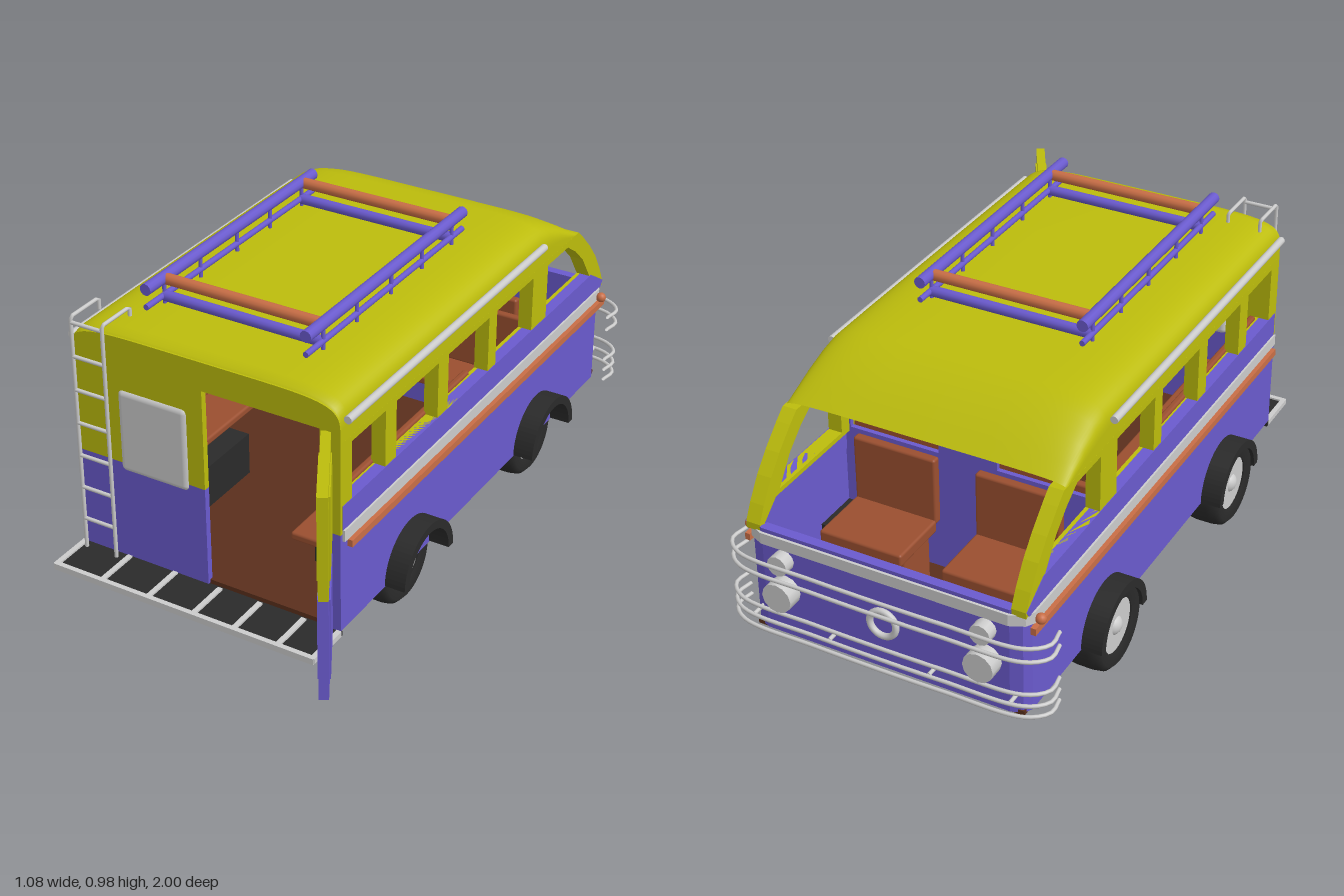
import * as THREE from 'three';
import { RoundedBoxGeometry } from 'three/addons/geometries/RoundedBoxGeometry.js';

const paint = (color) => new THREE.MeshStandardMaterial({ color, side: THREE.DoubleSide });
const V = (x, y, z) => new THREE.Vector3(x, y, z);
const shapeOf = (pts) => new THREE.Shape(pts.map(([a, b]) => new THREE.Vector2(a, b)));
const W = 0.44; // half width of the body

export function createModel() {
  const purple = paint(0x6a5acd), yellow = paint(0xbcbc0c), orange = paint(0xc86e46), seatBrown = paint(0x9a4f30);
  const brown = paint(0x5a2f1c), black = paint(0x2a2a2a), grey = paint(0xcccccc);
  const model = new THREE.Group();
  const bus = new THREE.Group();
  bus.name = 'bus';
  bus.position.x = -0.04;
  model.add(bus);

  const add = (name, geo, mat, parent = bus) => {
    const m = new THREE.Mesh(geo, mat);
    m.name = name;
    parent.add(m);
    return m;
  };
  // box given by its limits
  const box = (name, mat, x0, x1, y0, y1, z0, z1, parent) => {
    const g = new THREE.BoxGeometry(x1 - x0, y1 - y0, z1 - z0);
    g.translate((x0 + x1) / 2, (y0 + y1) / 2, (z0 + z1) / 2);
    return add(name, g, mat, parent);
  };
  const rod = (name, mat, a, b, r) => {
    const m = add(name, new THREE.CylinderGeometry(r, r, a.distanceTo(b), 12), mat);
    m.position.copy(a).lerp(b, 0.5);
    m.quaternion.setFromUnitVectors(V(0, 1, 0), b.clone().sub(a).normalize());
    return m;
  };
  const extrude = (shape, depth) => new THREE.ExtrudeGeometry(shape, { depth, bevelEnabled: false, curveSegments: 16 });
  // side panel drawn in (z, y), its outer face at x = outer
  const sidePanel = (name, mat, shape, outer, depth, s) => {
    const g = extrude(shape, depth);
    g.rotateY(-Math.PI / 2);
    g.translate(s > 0 ? outer : -outer + depth, 0, 0);
    add(name, g, mat);
  };

  // lower hull: walls and nose in plan, open at the rear
  const hullPlan = (o) => [[W + o, -0.71], [W + o, 0.91], [0.425 + o, 0.935], [0.39, 0.947 + o], [-0.39, 0.947 + o],
    [-0.425 - o, 0.935], [-W - o, 0.91], [-W - o, -0.71]];
  const uShape = (outer, inner) => shapeOf([...hullPlan(outer), ...hullPlan(inner).reverse()]);
  const plan = (name, mat, shape, y, h) => {
    const g = extrude(shape, h);
    g.rotateX(-Math.PI / 2);
    g.translate(0, y, 0);
    add(name, g, mat);
  };
  plan('lowerHull', purple, uShape(0, -0.03), 0.14, 0.345);
  plan('waistBand', grey, uShape(0.008, 0), 0.437, 0.036);
  box('floor', brown, -0.43, 0.43, 0.135, 0.15, -0.94, 0.71);

  // window frames and front pillars on each side
  for (const s of [1, -1]) {
    sidePanel('windowSill', purple, shapeOf([[0.71, 0.47], [-0.93, 0.47], [-0.945, 0.49], [-0.85, 0.55], [0.71, 0.55]]), W + 0.002, 0.035, s);
    const frame = shapeOf([[0.71, 0.535], [0.71, 0.75], [-0.735, 0.75], [-0.77, 0.72], [-0.83, 0.662], [-0.877, 0.607],
      [-0.92, 0.54], [-0.945, 0.49], [-0.945, 0.47], [-0.93, 0.475], [-0.86, 0.535]]);
    for (const [a, b] of [[0.48, 0.66], [0.18, 0.42], [-0.13, 0.12], [-0.42, -0.18]])
      frame.holes.push(shapeOf([[a, 0.55], [b, 0.55], [b, 0.73], [a, 0.73]]));
    frame.holes.push(shapeOf([[-0.52, 0.55], [-0.52, 0.73], [-0.66, 0.73], [-0.72, 0.69], [-0.78, 0.635], [-0.84, 0.55]]));
    sidePanel('windowFrame', yellow, frame, W, 0.045, s);
    box('trimStrip', orange, s * 0.452 - 0.008, s * 0.452 + 0.008, 0.412, 0.434, -0.93, 0.69);
    rod('rainGutter', grey, V(s * 0.45, 0.818, 0.7), V(s * 0.45, 0.818, -0.465), 0.012);
    const lamp = add('sideLamp', new THREE.SphereGeometry(0.016, 16, 12), orange);
    lamp.position.set(s * 0.46, 0.45, -0.9);
  }

  // roof lofted from rounded sections
  const arc = (top, n = 40) => Array.from({ length: n + 1 }, (_, i) => {
    const a = Math.PI * i / n, c = Math.cos(a);
    return [W * Math.sign(c) * Math.abs(c) ** (1 / 3), 0.73 + (top - 0.73) * Math.abs(Math.sin(a)) ** (1 / 3)];
  });
  const stations = [[0.72, 0.862], [0.71, 0.876], [0.68, 0.885], [0.2, 0.887], [-0.3, 0.887], [-0.48, 0.885], [-0.54, 0.868],
    [-0.61, 0.835], [-0.67, 0.797], [-0.72, 0.762]];
  const pos = [], idx = [], row = 41;
  stations.forEach(([z, top], j) => {
    arc(top).forEach(([x, y], i) => {
      pos.push(x, y, z);
      if (i < row - 1 && j < stations.length - 1) {
        const k = j * row + i;
        idx.push(k, k + row, k + 1, k + 1, k + row, k + row + 1);
      }
    });
  });
  const roof = new THREE.BufferGeometry();
  roof.setAttribute('position', new THREE.Float32BufferAttribute(pos, 3));
  roof.setIndex(idx);
  roof.computeVertexNormals();
  add('roof', roof, yellow);

  // rear wall around the doorway
  const rear = add('rearWallUpper', extrude(shapeOf([[W, 0.46], ...arc(0.87), [-W, 0.46], [0, 0.46], [0, 0.78], [0.375, 0.78], [0.375, 0.46]]), 0.02), yellow);
  rear.position.z = 0.7;
  box('rearWallLower', purple, -W, 0, 0.14, 0.46, 0.7, 0.72);
  box('rearJambLower', purple, 0.375, W, 0.14, 0.46, 0.7, 0.72);
  const pane = add('rearWindow', new RoundedBoxGeometry(0.235, 0.27, 0.04, 4, 0.019), grey);
  pane.position.set(-0.168, 0.57, 0.708);

  // open rear door
  const door = new THREE.Group();
  door.name = 'rearDoor';
  door.position.set(0.395, 0, 0.72);
  door.rotation.y = -Math.atan2(0.28, 0.16);
  bus.add(door);
  for (const [mat, y0, y1] of [[purple, 0.14, 0.46], [yellow, 0.46, 0.78]]) {
    box('doorLeaf', mat, 0, 0.32, y0, y1, -0.014, 0.014, door);
    box('doorPanel', mat, 0.06, 0.27, y0 + 0.03, y1 - 0.03, -0.018, 0.018, door);
  }

  // rear step with slats
  box('stepTread', black, -W, W, 0.122, 0.136, 0.71, 0.86);
  for (const x of [-0.435, -0.275, -0.115, 0.04, 0.175, 0.32, 0.435]) box('stepSlat', grey, x - 0.008, x + 0.008, 0.125, 0.142, 0.72, 0.865);
  box('stepEdge', grey, -W, W, 0.122, 0.142, 0.852, 0.868);

  // ladder hooked over the roof
  for (const x of [-0.408, -0.302]) {
    const path = new THREE.CurvePath();
    const pts = [V(x, 0.145, 0.75), V(x, 0.91, 0.75), V(x, 0.91, 0.62), V(x, 0.875, 0.62)];
    for (let i = 0; i < 3; i++) path.add(new THREE.LineCurve3(pts[i], pts[i + 1]));
    add('ladderRail', new THREE.TubeGeometry(path, 60, 0.006, 8), grey);
  }
  for (let i = 0; i < 7; i++) rod('ladderRung', grey, V(-0.408, 0.245 + i * 0.108, 0.75), V(-0.302, 0.245 + i * 0.108, 0.75), 0.006);

  // roof rack
  for (const s of [1, -1]) {
    rod('rackTopRail', purple, V(s * 0.26, 0.965, 0.6), V(s * 0.26, 0.965, -0.285), 0.018);
    rod('rackLowRail', purple, V(s * 0.26, 0.91, 0.6), V(s * 0.26, 0.91, -0.285), 0.009);
    for (const z of [0.51, 0.33, 0.14, -0.04, -0.22]) rod('rackPost', purple, V(s * 0.26, 0.88, z), V(s * 0.26, 0.965, z), 0.006);
  }
  for (const z of [0.51, -0.22]) {
    rod('rackCrossBar', orange, V(-0.26, 0.963, z), V(0.26, 0.963, z), 0.017);
    rod('rackLowCrossBar', purple, V(-0.26, 0.908, z), V(0.26, 0.908, z), 0.016);
  }

  // wheels, arches and wheel wells
  const tyre = new THREE.LatheGeometry([[0.085, -0.055], [0.12, -0.064], [0.136, -0.05], [0.14, -0.025], [0.14, 0.025], [0.136, 0.05],
    [0.12, 0.064], [0.085, 0.055]].map(([r, y]) => new THREE.Vector2(r, y)), 40);
  tyre.rotateZ(Math.PI / 2);
  const hub = new THREE.CylinderGeometry(0.086, 0.086, 0.1, 32);
  hub.rotateZ(Math.PI / 2);
  const cap = new THREE.SphereGeometry(0.035, 20, 12);
  const archShape = new THREE.Shape();
  archShape.absarc(0, 0, 0.145, 0, Math.PI, false);
  archShape.absarc(0, 0, 0.118, Math.PI, 0, true);
  for (const z of [0.33, -0.48]) for (const s of [1, -1]) {
    const wheel = new THREE.Group();
    wheel.name = 'wheel';
    wheel.position.set(s > 0 ? 0.37 : -0.43, 0.142, z);
    bus.add(wheel);
    add('tyre', tyre, black, wheel);
    add('hub', hub, grey, wheel);
    add('hubCap', cap, grey, wheel).position.x = s * 0.03;
    const g = extrude(archShape, 0.07);
    g.rotateY(-Math.PI / 2);
    g.translate(s > 0 ? 0.505 : -0.435, 0.143, z);
    add('wheelArch', g, black);
    const x = s * 0.31;
    box('wheelWell', black, x - 0.1, x + 0.1, 0.132, 0.29, z - 0.15, z + 0.15);
  }

  // front bumper rails, lamps and nose ring
  for (const y of [0.4, 0.355, 0.245, 0.205, 0.168]) {
    const p = [[-0.5, -0.87], [-0.505, -0.93], [-0.45, -0.978], [-0.2, -0.99], [0.2, -0.99], [0.45, -0.978], [0.505, -0.93], [0.5, -0.87]];
    const curve = new THREE.CatmullRomCurve3(p.map(([x, z]) => V(x, y, z)));
    add('bumperRail', new THREE.TubeGeometry(curve, 60, 0.006, 8), grey);
  }
  for (const s of [1, -1]) {
    rod('headlamp', grey, V(s * 0.32, 0.298, -0.94), V(s * 0.32, 0.298, -0.998), 0.047);
    rod('upperLamp', grey, V(s * 0.32, 0.4, -0.94), V(s * 0.32, 0.4, -0.985), 0.032);
    for (const x of [0.16, 0.41]) rod('bumperBracket', grey, V(s * x, 0.205, -0.93), V(s * x, 0.205, -0.985), 0.006);
  }
  add('noseRing', new THREE.TorusGeometry(0.042, 0.01, 12, 32), grey).position.set(0, 0.3, -0.955);

  // partition behind the cab, with two openings
  const wall = shapeOf([[-0.42, 0.15], [0.42, 0.15], [0.42, 0.8], [0.37, 0.86], [-0.37, 0.86], [-0.42, 0.8]]);
  for (const s of [1, -1]) wall.holes.push(shapeOf([[s * 0.095, 0.55], [s * 0.39, 0.55], [s * 0.39, 0.69], [s * 0.095, 0.69]]));
  add('partition', extrude(wall, 0.015), purple).position.z = -0.48;

  // cab seats, cross seat and side benches
  for (const s of [1, -1]) {
    const seat = (name, x, y, z, w, h, d) => add(name, new RoundedBoxGeometry(w, h, d, 3, 0.008), seatBrown).position.set(s * x, y, z);
    seat('cabCushion', 0.2, 0.35, -0.65, 0.27, 0.04, 0.2);
    seat('cabSeatBase', 0.2, 0.24, -0.63, 0.23, 0.18, 0.14);
    seat('cabBackrest', 0.2, 0.465, -0.54, 0.27, 0.22, 0.03);
    seat('crossBackrest', 0.2, 0.465, -0.445, 0.39, 0.21, 0.025);
    seat('crossCushion', 0.2, 0.348, -0.37, 0.39, 0.026, 0.17);
    seat('benchCushion', 0.32, 0.348, 0.28, 0.17, 0.026, 0.74);
    seat('benchBackrest', 0.39, 0.46, 0.28, 0.022, 0.2, 0.74);
  }
  return model;
}
